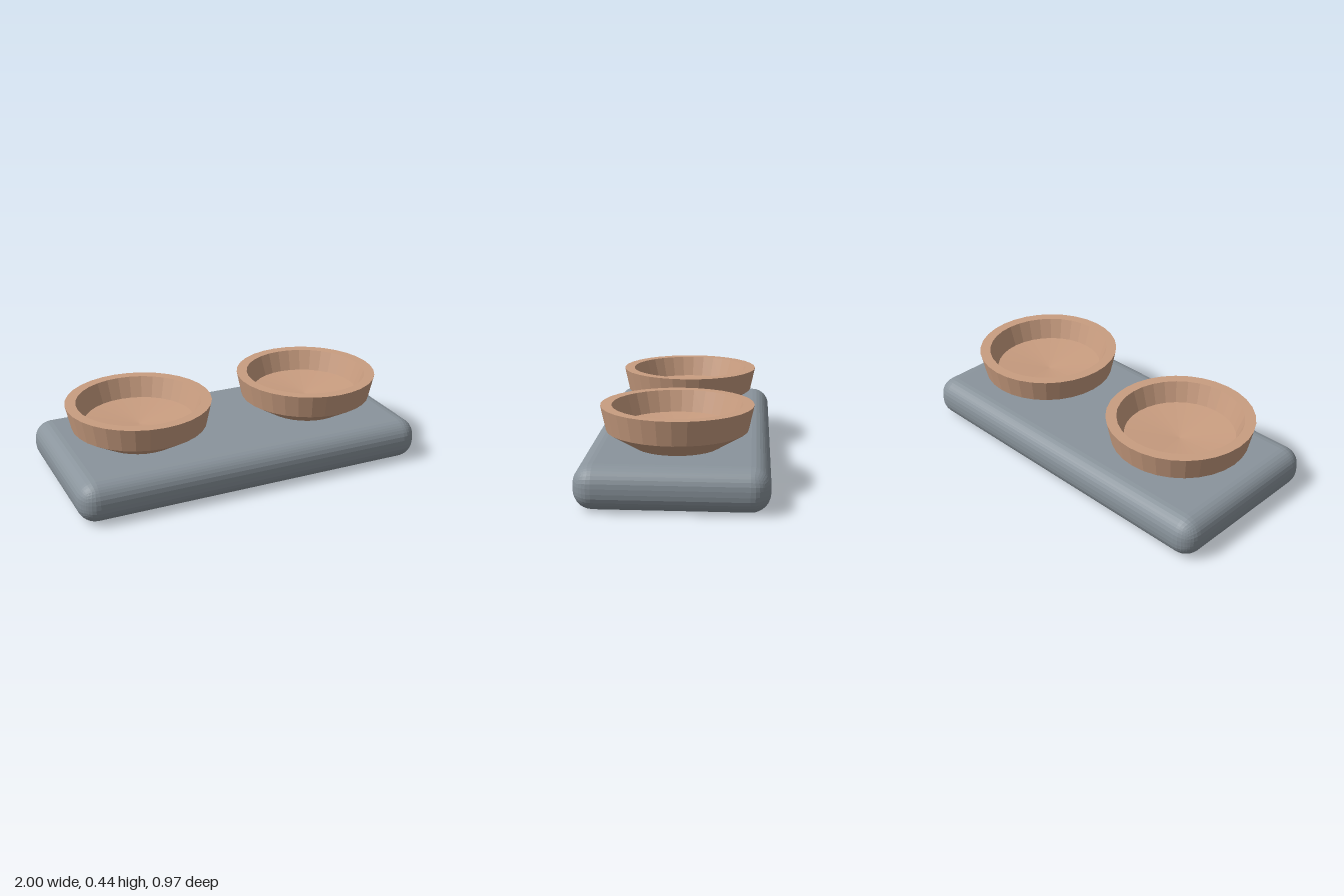
import * as THREE from 'three';
import { RoundedBoxGeometry } from 'three/addons/geometries/RoundedBoxGeometry.js';

export function createModel() {
  const model = new THREE.Group();
  model.name = 'doubleBowlStand';

  const slate = new THREE.MeshStandardMaterial({ color: 0x8a949c, flatShading: true });
  slate.name = 'slate grey';
  const clay = new THREE.MeshStandardMaterial({ color: 0xc99d80, flatShading: true });
  clay.name = 'clay tan';

  // Rounded slab that carries the bowls
  const base = new THREE.Mesh(new RoundedBoxGeometry(2, 0.228, 0.97, 4, 0.1), slate);
  base.name = 'base';
  base.position.y = 0.114;
  model.add(base);

  // Bowl profile: foot, flared outside, flat rim, inner wall, shallow dished floor
  const profile = [
    [0, 0.215], [0.205, 0.215], [0.37, 0.315], [0.398, 0.445],
    [0.34, 0.445], [0.3, 0.332], [0, 0.303],
  ].map(([r, y]) => new THREE.Vector2(r, y));
  const bowlGeometry = new THREE.LatheGeometry(profile, 32);

  for (const [name, side] of [['leftBowl', 1], ['rightBowl', -1]]) {
    const bowl = new THREE.Mesh(bowlGeometry, clay);
    bowl.name = name;
    bowl.position.x = side * 0.513;
    model.add(bowl);
  }

  return model;
}
